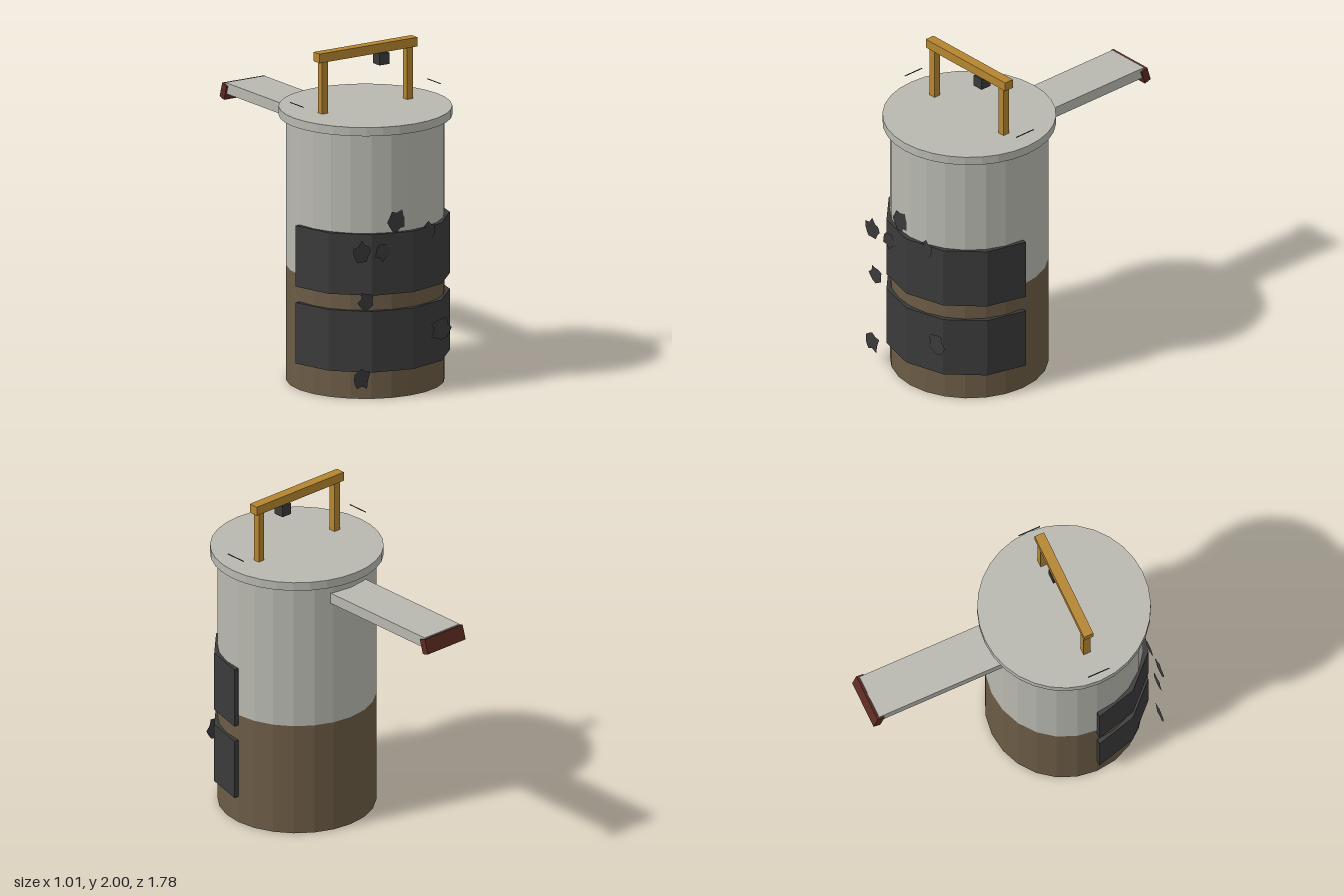
import * as THREE from 'three';

const mat = (name, color, extra = {}) => {
  const m = new THREE.MeshStandardMaterial({ color, ...extra });
  m.name = name;
  return m;
};

export function createModel() {
  const group = new THREE.Group();
  const CZ = 0.39; // drum axis
  const steel = mat('paleSteel', 0xb8b8b0, { flatShading: true });
  const rust = mat('brownGrime', 0x6b5b45, { flatShading: true });
  const char = mat('charBlack', 0x3a3a3a, { flatShading: true, side: THREE.DoubleSide });
  const brass = mat('brass', 0xb5852f);
  const red = mat('darkRed', 0x5c2a22);

  const add = (name, geometry, material, x, y, z) => {
    const mesh = new THREE.Mesh(geometry, material);
    mesh.name = name;
    mesh.position.set(x, y, z);
    group.add(mesh);
    return mesh;
  };
  const box = (name, material, w, h, d, x, y, z) =>
    add(name, new THREE.BoxGeometry(w, h, d), material, x, y, z);
  // drum section between two heights
  const drum = (name, material, r, y0, y1, sides, open = false) =>
    add(name, new THREE.CylinderGeometry(r, r, y1 - y0, sides, 1, open), material, 0, (y0 + y1) / 2, CZ);

  // Drum: grimy lower half, clean upper half, pale base and lid
  drum('lowerDrum', rust, 0.46, 0.002, 0.69, 24, true);
  drum('upperDrum', steel, 0.46, 0.69, 1.585, 24, true);
  drum('drumBase', steel, 0.459, 0, 0.01, 24);
  drum('lid', steel, 0.503, 1.583, 1.635, 32);

  // Half-ring plates wrapped around the front
  const ring = [];
  for (let i = 0; i <= 6; i++) {
    const a = (i * Math.PI) / 6;
    ring.push(new THREE.Vector2(0.49 * Math.cos(a), 0.49 * Math.sin(a)));
  }
  for (let i = 6; i >= 0; i--) {
    const a = (i * Math.PI) / 6;
    ring.push(new THREE.Vector2(0.46 * Math.cos(a), 0.46 * Math.sin(a)));
  }
  const bandGeometry = new THREE.ExtrudeGeometry(new THREE.Shape(ring), { depth: 0.365, bevelEnabled: false });
  bandGeometry.rotateX(Math.PI / 2);
  add('lowerBand', bandGeometry, char, 0, 0.53, CZ);
  add('upperBand', bandGeometry, char, 0, 0.99, CZ);

  // Ragged flat soot flakes: x, y, radius
  const flakes = [
    [-0.335, 0.9, 0.066], [-0.19, 0.885, 0.055], [-0.305, 0.605, 0.058], [-0.335, 0.147, 0.064],
    [0.22, 0.365, 0.073], [-0.09, 1.055, 0.07], [0.13, 0.965, 0.056],
  ];
  flakes.forEach(([x, y, r], k) => {
    const pts = [];
    for (let i = 0; i < 12; i++) {
      const a = (i * Math.PI) / 6;
      const s = r * (0.9 + 0.16 * Math.sin(i * 2.7 + k * 1.9) + 0.08 * Math.cos(i * 4.1 + k));
      pts.push(new THREE.Vector2(s * Math.cos(a), s * Math.sin(a)));
    }
    add('sootFlake', new THREE.ShapeGeometry(new THREE.Shape(pts)), char, x, y, 0.845);
  });

  // Handle frame with a small hanging block
  box('handleBar', brass, 0.685, 0.055, 0.06, 0, 1.9725, CZ);
  for (const s of [-1, 1]) {
    box('handlePost', brass, 0.042, 0.312, 0.042, s * 0.298, 1.79, CZ);
    box('sideWire', char, 0.006, 0.003, 0.135, s * 0.48, 1.71, CZ);
  }
  box('hangingBlock', char, 0.068, 0.068, 0.068, 0.11, 1.905, CZ);

  // Rear chute with a tilted end cap
  box('chute', steel, 0.274, 0.065, 0.805, 0, 1.4925, -0.4475);
  box('chuteCap', red, 0.296, 0.09, 0.046, 0, 1.473, -0.856).rotation.x = 0.3;

  return group;
}
